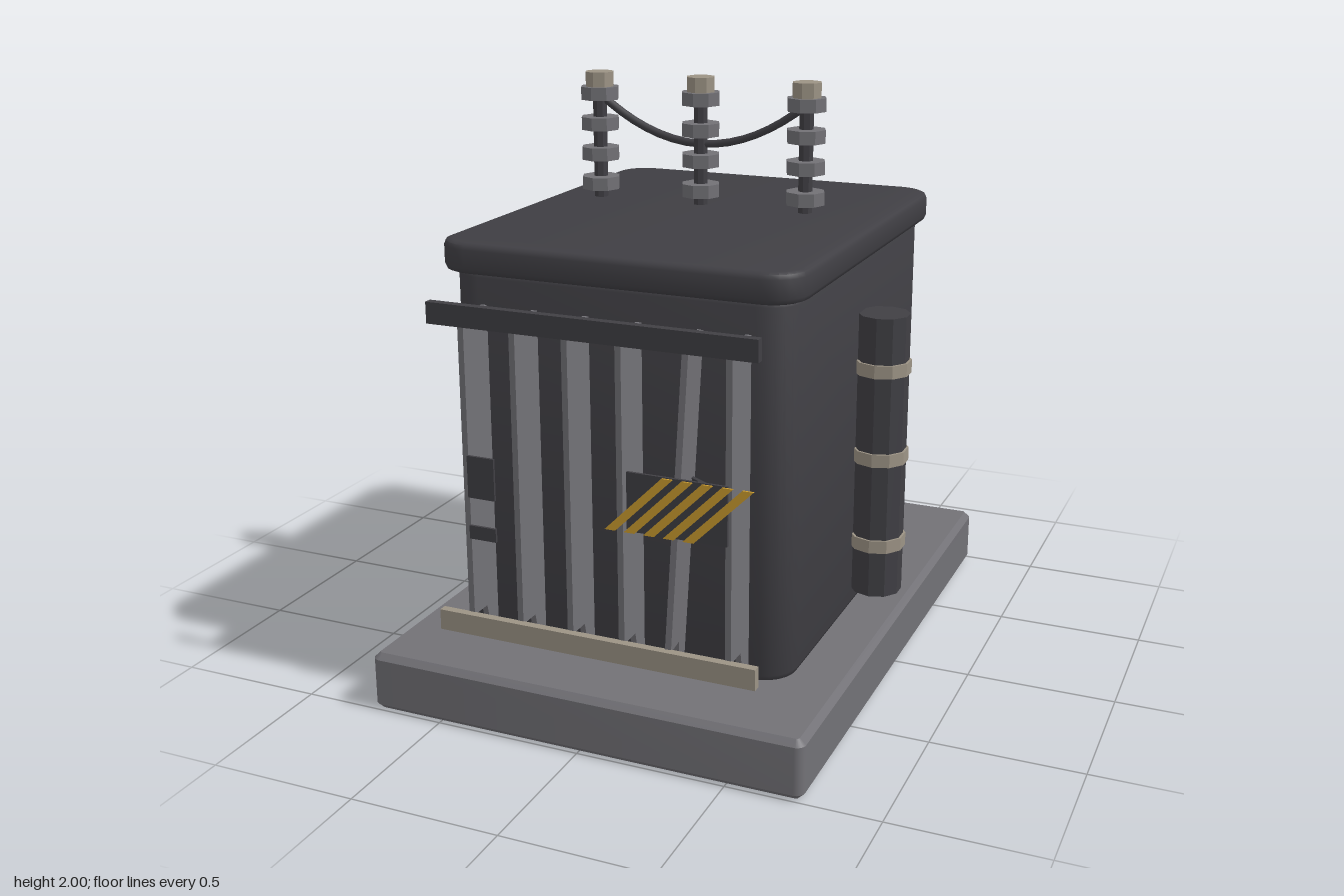
import * as THREE from 'three';
import { toCreasedNormals } from 'three/addons/utils/BufferGeometryUtils.js';

const material = (name, color, extra = {}) => {
  const m = new THREE.MeshStandardMaterial({ color, ...extra });
  m.name = name;
  return m;
};

// Upright slab with rounded plan corners and softened top and bottom edges
function slab(w, d, y0, y1, corner, bevel, bevelSegments) {
  const x = w / 2 - bevel, z = d / 2 - bevel, r = corner;
  const s = new THREE.Shape();
  s.absarc(x - r, z - r, r, 0, Math.PI / 2);
  s.absarc(-x + r, z - r, r, Math.PI / 2, Math.PI);
  s.absarc(-x + r, -z + r, r, Math.PI, Math.PI * 1.5);
  s.absarc(x - r, -z + r, r, Math.PI * 1.5, Math.PI * 2);
  const g = new THREE.ExtrudeGeometry(s, {
    depth: y1 - y0 - 2 * bevel, bevelEnabled: true, bevelSize: bevel,
    bevelThickness: bevel, bevelSegments, curveSegments: 3,
  });
  g.rotateX(-Math.PI / 2).translate(0, y0 + bevel, 0);
  return g;
}

export function createModel() {
  const model = new THREE.Group();
  model.name = 'transformer';
  const dark = material('dark steel', 0x403f44);
  const grey = material('grey concrete', 0x727176);
  const tan = material('tan metal', 0x9c9385);
  const yellow = material('warning yellow', 0xd0a030);
  const facetedDark = dark;

  const add = (name, geometry, mat, x = 0, y = 0, z = 0, parent = model) => {
    const mesh = new THREE.Mesh(geometry, mat);
    mesh.name = name;
    mesh.position.set(x, y, z);
    parent.add(mesh);
    return mesh;
  };
  const box = (name, x0, x1, y0, y1, z0, z1, mat) =>
    add(name, new THREE.BoxGeometry(x1 - x0, y1 - y0, z1 - z0), mat,
      (x0 + x1) / 2, (y0 + y1) / 2, (z0 + z1) / 2);
  // Faceted cylinder with hard edges
  const prism = (r, h, sides) =>
    toCreasedNormals(new THREE.CylinderGeometry(r, r, h, sides), 0.3);

  // Plinth, tank and lid
  add('plinth', toCreasedNormals(slab(1.5, 2, 0, 0.2, 0.01, 0.02, 1), 0.3), grey);
  add('tank', toCreasedNormals(slab(1.17, 1.4, 0.2, 1.45, 0.09, 0.025, 2), 0.8), dark);
  add('lid', toCreasedNormals(slab(1.23, 1.48, 1.44, 1.54, 0.1, 0.02, 2), 0.8), dark);

  // Side pipes with clamp bands
  for (const side of [-1, 1]) {
    const pipe = new THREE.Group();
    pipe.name = side > 0 ? 'leftPipe' : 'rightPipe';
    pipe.position.x = side * 0.66;
    model.add(pipe);
    add('pipeBody', prism(0.088, 0.985, 10), facetedDark, 0, 0.763, 0, pipe);
    for (const y of [0.455, 0.765, 1.075])
      add('clampBand', prism(0.096, 0.045, 10), tan, 0, y, 0, pipe);
  }

  // Insulated terminals
  for (const x of [-0.375, 0, 0.375]) {
    const terminal = new THREE.Group();
    terminal.name = 'terminal';
    terminal.position.x = x;
    model.add(terminal);
    add('rod', prism(0.025, 0.38, 8), dark, 0, 1.76, 0, terminal);
    for (const y of [1.62, 1.722, 1.825, 1.928])
      add('insulatorDisc', prism(0.067, 0.044, 8), grey, 0, y, 0, terminal);
    add('terminalCap', prism(0.05, 0.05, 8), tan, 0, 1.975, 0, terminal);
  }

  // Sagging cable joining the terminals
  const sag = new THREE.QuadraticBezierCurve3(
    new THREE.Vector3(-0.375, 1.925, 0), new THREE.Vector3(0, 1.625, 0),
    new THREE.Vector3(0.375, 1.925, 0));
  add('cable', new THREE.TubeGeometry(sag, 16, 0.014, 6), dark);

  // Radiator fins, profile given as (z, y)
  const profile = new THREE.Shape([
    [0.69, 0.2], [0.72, 0.25], [0.76, 0.29], [0.77, 0.33],
    [0.85, 0.33], [0.85, 1.32], [0.69, 1.34],
  ].map(([z, y]) => new THREE.Vector2(z, y)));
  const finGeometry = new THREE.ExtrudeGeometry(profile, { depth: 0.02, bevelEnabled: false });
  finGeometry.rotateY(-Math.PI / 2).translate(0.01, -0.8, -0.77);
  for (const x of [-0.45, -0.27, -0.09, 0.09, 0.27, 0.45]) {
    const fin = add('radiatorFin', finGeometry, grey, x, 0.8, 0.77);
    if (x === 0.27) fin.rotation.set(0, 0.1, -0.06); // knocked out of line
  }

  // Rails across the fins
  box('upperRail', -0.555, 0.55, 1.31, 1.38, 0.848, 0.876, dark);
  box('lowerRail', -0.555, 0.55, 0.27, 0.34, 0.848, 0.876, tan);

  // Small plates and warning panel
  box('upperPlate', -0.425, -0.33, 0.755, 0.895, 0.876, 0.885, dark);
  box('lowerPlate', -0.425, -0.33, 0.615, 0.66, 0.876, 0.885, dark);
  box('warningPanel', 0.13, 0.46, 0.73, 0.922, 0.876, 0.885, dark);
  const flap = box('bentFlap', 0.33, 0.44, 0.84, 0.92, 0.845, 0.853, dark);
  flap.rotation.set(0.5, -0.35, 0);

  // Slanted warning stripes
  const stripe = new THREE.Shape([[0, 0], [0.036, 0], [0.228, 0.192], [0.192, 0.192]]
    .map(([x, y]) => new THREE.Vector2(x, y)));
  const stripeGeometry = new THREE.ExtrudeGeometry(stripe, { depth: 0.006, bevelEnabled: false });
  for (let i = 0; i < 5; i++)
    add('warningStripe', stripeGeometry, yellow, 0.058 + i * 0.065, 0.728, 0.887);

  return model;
}
